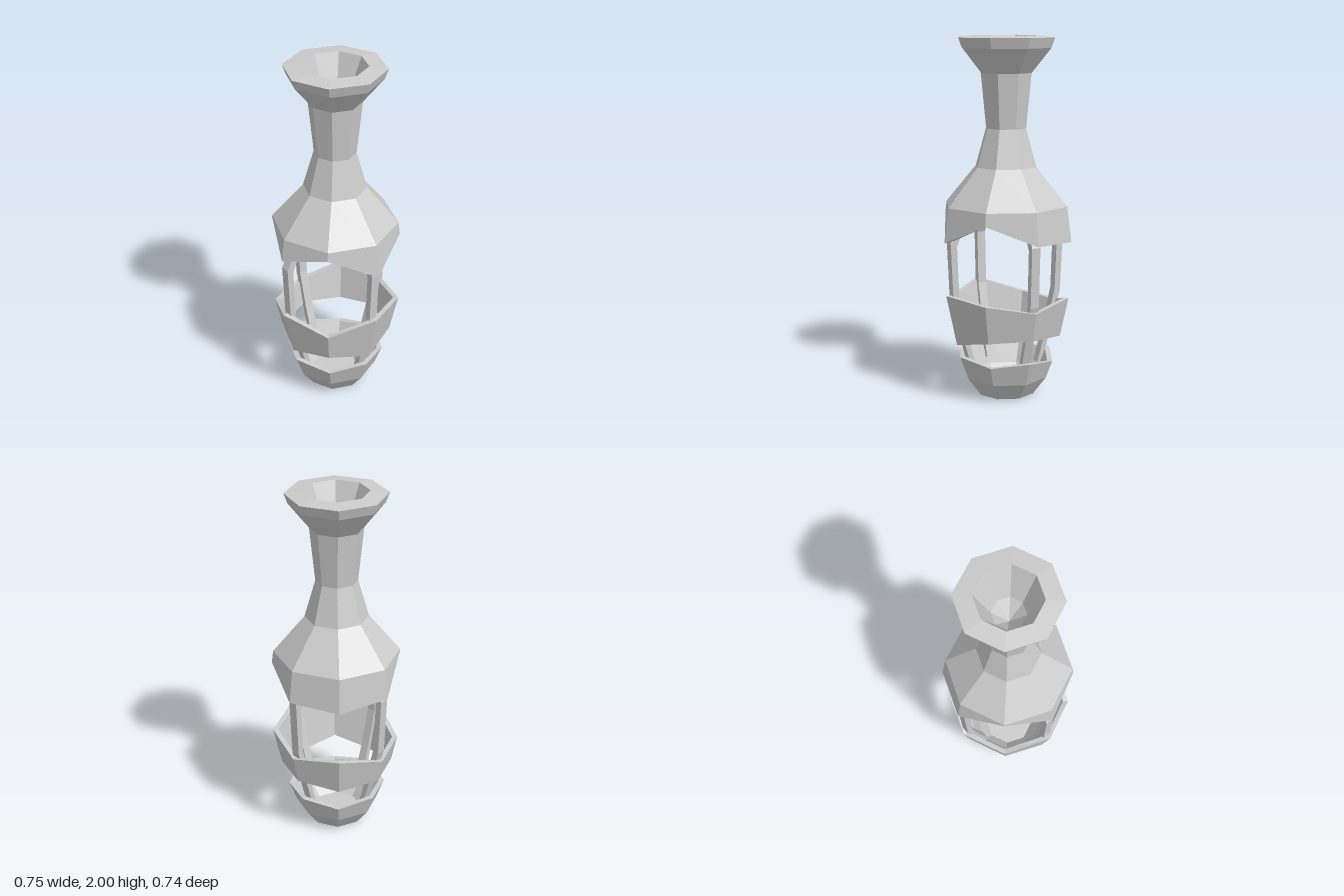
import * as THREE from 'three';

const SIDES = 8;
const material = new THREE.MeshStandardMaterial({ color: 0xcccccc, flatShading: true });

// Uneven broken edge: one height per corner (starting at +x, turning to +z),
// radius following the slope of the wall.
const brokenEdge = (heights, radiusAt, inset = 0) => heights.map((y) => [radiusAt(y) - inset, y]);

// Faceted shell through a list of rings; a ring is [radius, y] or one such pair per corner.
function shell(name, rings, closed = false) {
  const point = (ring, i) => {
    const k = i % SIDES;
    const [r, y] = Array.isArray(ring[0]) ? ring[k] : ring;
    const a = (k / SIDES) * Math.PI * 2;
    return [r * Math.cos(a), y, r * Math.sin(a)];
  };
  const positions = [];
  const count = closed ? rings.length : rings.length - 1;
  for (let k = 0; k < count; k++) {
    const low = rings[k];
    const high = rings[(k + 1) % rings.length];
    for (let i = 0; i < SIDES; i++) {
      const a = point(low, i), b = point(low, i + 1);
      const c = point(high, i + 1), d = point(high, i);
      // skip the collapsed triangle where a ring closes on the axis
      if (high[0] !== 0) positions.push(...a, ...d, ...c);
      if (low[0] !== 0) positions.push(...a, ...c, ...b);
      else if (high[0] === 0) continue;
      if (high[0] === 0) continue;
    }
  }
  const geometry = new THREE.BufferGeometry();
  geometry.setAttribute('position', new THREE.Float32BufferAttribute(positions, 3));
  geometry.computeVertexNormals();
  const mesh = new THREE.Mesh(geometry, material);
  mesh.name = name;
  return mesh;
}

export function createModel() {
  const group = new THREE.Group();
  group.name = 'brokenVase';

  // Neck and shoulder: outer wall up, funnel mouth down, hollow inside back to the edge
  const shoulderEdge = [0.89, 1.03, 0.95, 1.07, 0.91, 0.885, 0.9, 1.01];
  const shoulderRadius = (y) => 0.35 + (1.08 - y) * 0.13;
  group.add(shell('neckAndShoulder', [
    brokenEdge(shoulderEdge, shoulderRadius),
    [0.35, 1.08], [0.175, 1.29], [0.115, 1.5], [0.145, 1.8], [0.255, 1.935], [0.275, 1.99],
    [0.175, 2], [0.09, 1.8], [0, 1.7],
    [0, 1.55], [0.085, 1.5], [0.14, 1.29], [0.315, 1.08],
    brokenEdge(shoulderEdge, shoulderRadius, 0.03),
  ], true));

  // Belly band: free-floating ring with uneven edges
  const bandTop = [0.595, 0.52, 0.59, 0.51, 0.5, 0.57, 0.53, 0.575];
  const bandBottom = [0.31, 0.355, 0.315, 0.36, 0.36, 0.35, 0.37, 0.36];
  const bandRadius = (y) => 0.305 + (y - 0.31) * 0.22;
  group.add(shell('bellyBand', [
    brokenEdge(bandBottom, bandRadius),
    brokenEdge(bandTop, bandRadius),
    brokenEdge(bandTop, bandRadius, 0.03),
    brokenEdge(bandBottom, bandRadius, 0.03),
  ], true));

  // Base bowl
  const bowlEdge = [0.237, 0.21, 0.235, 0.215, 0.225, 0.2, 0.23, 0.21];
  const bowlRadius = (y) => 0.235 + (y - 0.1) * 0.37;
  group.add(shell('baseBowl', [
    [0, 0], [0.16, 0], [0.235, 0.1],
    brokenEdge(bowlEdge, bowlRadius),
    brokenEdge(bowlEdge, bowlRadius, 0.03),
    [0.2, 0.11], [0.14, 0.04], [0, 0.04],
  ]));

  // Four bent struts joining the pieces from inside
  const profile = new THREE.Shape([
    [0.25, 1.11], [0.35, 0.89], [0.335, 0.56], [0.28, 0.36], [0.22, 0.15],
    [0.19, 0.15], [0.25, 0.36], [0.3, 0.57], [0.312, 0.87], [0.215, 1.09],
  ].map(([r, y]) => new THREE.Vector2(r, y)));
  const strutGeometry = new THREE.ExtrudeGeometry(profile, { depth: 0.05, bevelEnabled: false });
  strutGeometry.translate(0, 0, -0.025);
  for (let i = 0; i < 4; i++) {
    const strut = new THREE.Mesh(strutGeometry, material);
    strut.name = `strut${i + 1}`;
    strut.rotation.y = (i * Math.PI) / 2;
    group.add(strut);
  }
  return group;
}
